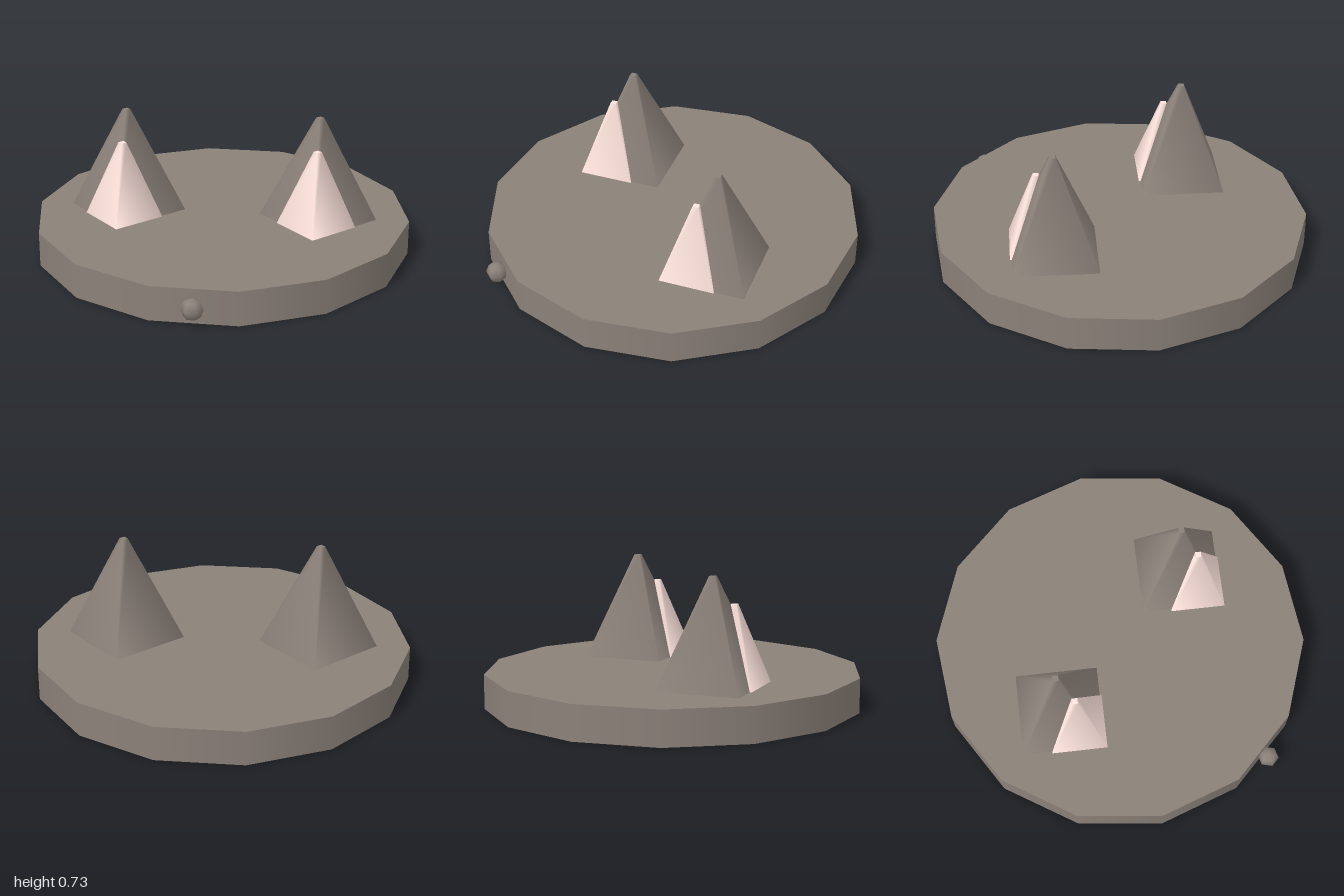
import * as THREE from 'three';

export function createModel() {
  const group = new THREE.Group();
  const grey = new THREE.MeshStandardMaterial({ color: 0x8b8179 });
  const pink = new THREE.MeshStandardMaterial({ color: 0xffe4de });
  const discZ = -0.043, discHeight = 0.18;

  const add = (name, geometry, material, x, y, z) => {
    const mesh = new THREE.Mesh(geometry, material);
    mesh.name = name;
    mesh.position.set(x, y, z);
    group.add(mesh);
    return mesh;
  };

  // Fourteen-sided base disc, corners on the x axis
  const disc = new THREE.CylinderGeometry(0.982, 0.982, discHeight, 14).rotateY(Math.PI / 2);
  add('baseDisc', disc, grey, 0, discHeight / 2, discZ);

  // Pair of four-sided ears, each with a smaller pink inner ear in front
  const ear = (name, material, x, z, radius, top) => {
    const height = top - discHeight;
    const geometry = new THREE.CylinderGeometry(0.021, radius, height, 4);
    add(name, geometry, material, x, discHeight + height / 2, z);
  };
  for (const [side, sign] of [['left', 1], ['right', -1]]) {
    ear(side + 'Ear', grey, sign * 0.505, discZ, 0.305, 0.727);
    ear(side + 'InnerEar', pink, sign * 0.505, 0.073, 0.203, 0.583);
  }

  // Small faceted knob on the front rim
  add('frontKnob', new THREE.SphereGeometry(0.056, 6, 4), grey, 0, 0.092, 0.952);

  return group;
}
